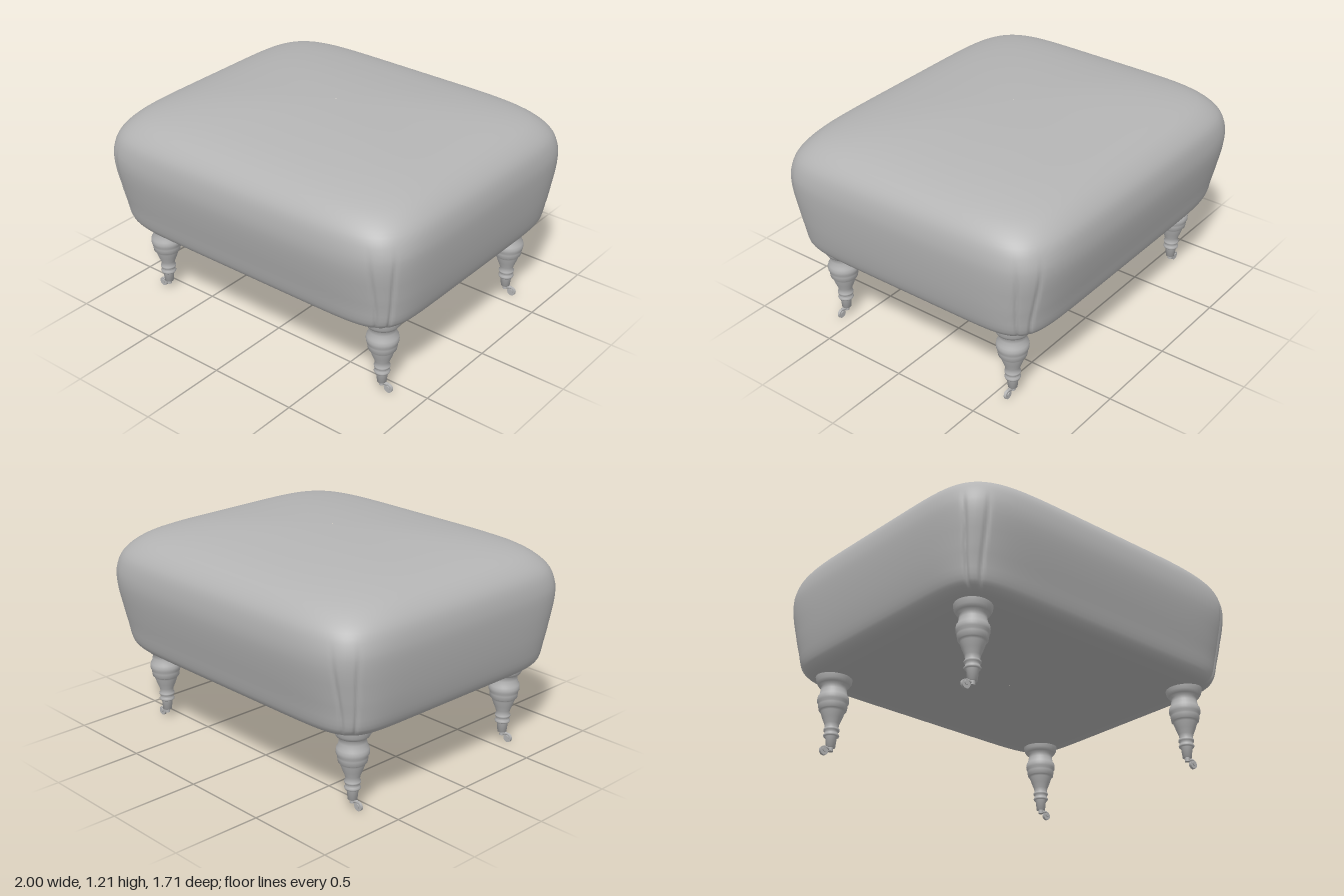
import * as THREE from 'three';

const grey = new THREE.MeshStandardMaterial({ color: 0xb4b4b4 });
grey.name = 'plain grey';

function part(name, geometry, parent) {
  const mesh = new THREE.Mesh(geometry, grey);
  mesh.name = name;
  parent.add(mesh);
  return mesh;
}

// Domed cushion: rounded-square rings, with pleats pinched in at the corners
function cushionGeometry() {
  // half width, height, half depth, squareness of the corners
  const rings = [
    [0.002, 0.443, 0.002, 9], [0.5, 0.443, 0.4, 9], [0.8, 0.446, 0.65, 9],
    [0.875, 0.455, 0.725, 9], [0.915, 0.475, 0.758, 9], [0.94, 0.51, 0.777, 9],
    [0.965, 0.6, 0.8, 8], [0.985, 0.72, 0.83, 7.5], [0.997, 0.84, 0.852, 7.5],
    [0.997, 0.92, 0.853, 7.5], [0.98, 1.0, 0.838, 7], [0.945, 1.055, 0.803, 6.5],
    [0.88, 1.105, 0.74, 6], [0.76, 1.147, 0.62, 5], [0.6, 1.175, 0.46, 4.5],
    [0.4, 1.194, 0.29, 4], [0.2, 1.203, 0.14, 3], [0.002, 1.206, 0.002, 2.5],
  ];
  const curve = new THREE.CatmullRomCurve3(
    rings.map((r) => new THREE.Vector3(r[0], r[1], r[2])), false, 'centripetal');
  const perSide = 80, around = perSide * 4, sub = 3;
  const levels = (rings.length - 1) * sub;
  const pos = [], index = [];

  for (let j = 0; j <= levels; j++) {
    const p = curve.getPoint(j / levels);
    const k = Math.min(Math.floor(j / sub), rings.length - 2);
    const n = THREE.MathUtils.lerp(rings[k][3], rings[k + 1][3], j / sub - k);
    const rise = THREE.MathUtils.clamp((p.y - 0.46) / 0.54, 0, 1);
    const fold = THREE.MathUtils.smoothstep(p.y, 0.45, 0.5)
      * (1 - THREE.MathUtils.smoothstep(p.y, 0.75, 1.0));
    for (let i = 0; i < around; i++) {
      const side = Math.floor(i / perSide);
      const s = Math.sin(((i % perSide) / perSide * 2 - 1) * Math.PI / 2);
      const [u, v] = [[s, 1], [1, -s], [-s, -1], [-1, s]][side];
      const crease = 0.95 - 0.06 * rise;
      const pinch = 1 - 0.011 * fold * Math.exp(-(((Math.abs(s) - crease) / 0.014) ** 2));
      const f = pinch / Math.pow(Math.abs(u) ** n + Math.abs(v) ** n, 1 / n);
      pos.push(u * f * p.x, p.y, v * f * p.z);
    }
  }
  for (let j = 0; j < levels; j++) {
    for (let i = 0; i < around; i++) {
      const a = j * around + i, b = j * around + (i + 1) % around;
      index.push(a, b, a + around, b, b + around, a + around);
    }
  }
  const g = new THREE.BufferGeometry();
  g.setAttribute('position', new THREE.Float32BufferAttribute(pos, 3));
  g.setIndex(index);
  g.computeVertexNormals();
  return g;
}

// Turned leg with a caster that trails outwards
function makeLeg(name, outward) {
  const leg = new THREE.Group();
  leg.name = name;
  const profile = [
    [0, 0.052], [0.025, 0.052], [0.031, 0.11], [0.04, 0.112], [0.043, 0.12],
    [0.038, 0.128], [0.035, 0.14], [0.042, 0.145], [0.043, 0.155], [0.036, 0.163],
    [0.04, 0.185], [0.052, 0.215], [0.064, 0.25], [0.066, 0.262], [0.075, 0.264],
    [0.079, 0.29], [0.079, 0.3], [0.085, 0.31], [0.086, 0.325], [0.083, 0.342],
    [0.076, 0.352], [0.071, 0.375], [0.069, 0.398], [0.085, 0.408],
    [0.095, 0.425], [0.101, 0.455], [0.1, 0.465],
  ].map(([r, y]) => new THREE.Vector2(r, y));
  part('turnedPost', new THREE.LatheGeometry(profile, 32), leg);

  part('casterStem', new THREE.CylinderGeometry(0.014, 0.014, 0.03, 16), leg)
    .position.y = 0.045;
  const armPath = new THREE.CatmullRomCurve3([
    new THREE.Vector3(0, 0.037, 0), new THREE.Vector3(outward * 0.02, 0.044, 0),
    new THREE.Vector3(outward * 0.043, 0.048, 0),
  ]);
  part('casterArm', new THREE.TubeGeometry(armPath, 10, 0.009, 10), leg);

  const wheel = part('casterWheel', new THREE.CylinderGeometry(0.025, 0.025, 0.014, 24), leg);
  wheel.rotation.x = Math.PI / 2;
  wheel.position.set(outward * 0.043, 0.025, 0);
  for (const z of [-1, 1]) {
    const fork = part('casterFork', new THREE.CylinderGeometry(0.013, 0.013, 0.005, 16), leg);
    fork.rotation.x = Math.PI / 2;
    fork.position.set(outward * 0.043, 0.03, z * 0.011);
  }
  return leg;
}

export function createModel() {
  const model = new THREE.Group();
  model.name = 'footstool';
  part('cushion', cushionGeometry(), model);
  for (const [sideName, x] of [['Left', 0.77], ['Right', -0.755]]) {
    for (const [endName, z] of [['front', 0.582], ['back', -0.578]]) {
      const leg = makeLeg(`${endName}${sideName}Leg`, Math.sign(x));
      leg.position.set(x, 0, z);
      model.add(leg);
    }
  }
  return model;
}
